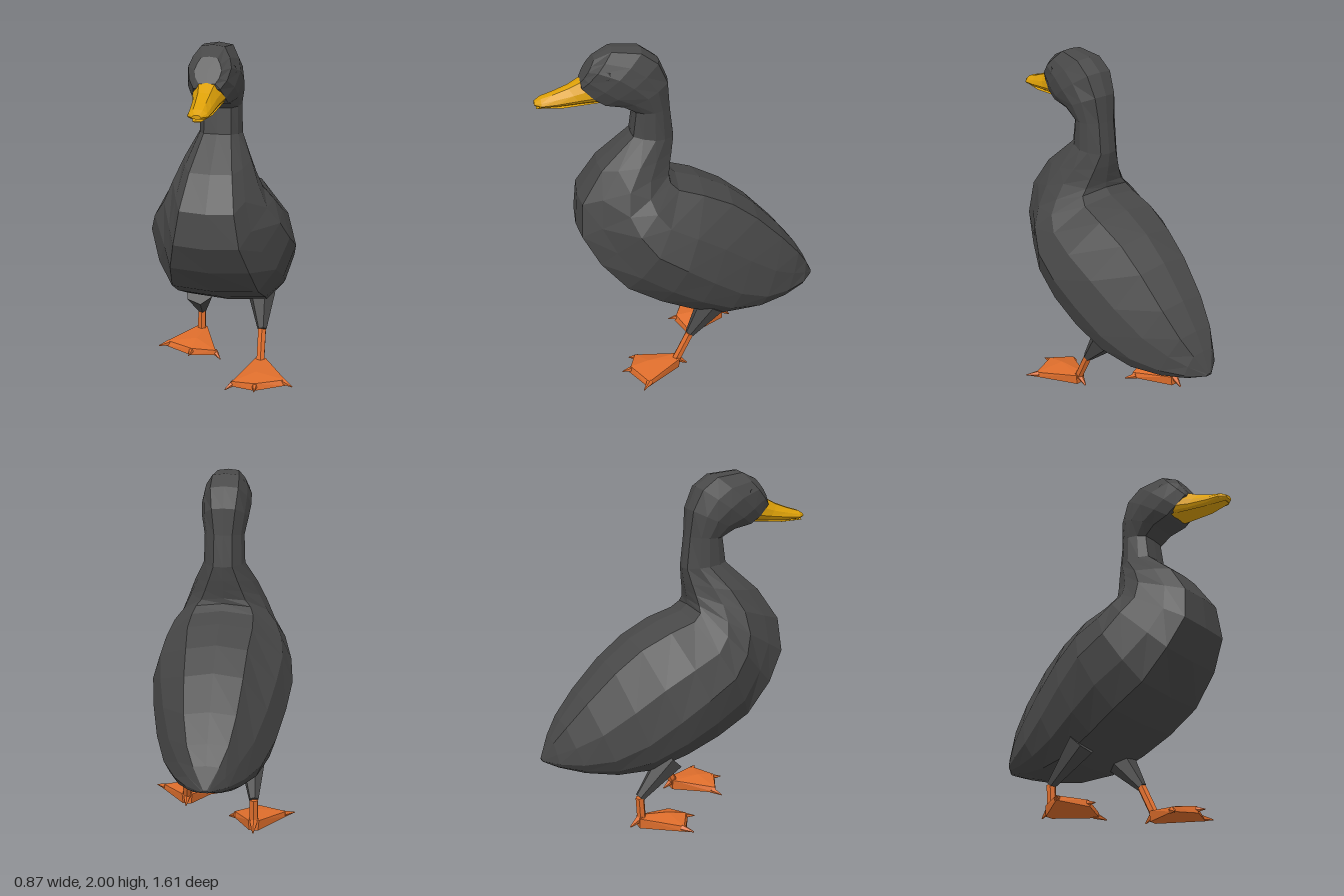
import * as THREE from 'three';
import { ConvexGeometry } from 'three/addons/geometries/ConvexGeometry.js';

const mat = (name, color) => {
  const m = new THREE.MeshStandardMaterial({ color });
  m.name = name;
  return m;
};

// Flat-faced loft. Each ring: [backZ, backY, frontZ, frontY, halfWidth,
// widest point from back to front, fullness of front side, width of back panel]
function loft(rings) {
  const pos = [], idx = [];
  for (const [bz, by, fz, fy, w, m, full = 0.88, back = 0.45] of rings) {
    const half = [[back, 0.04], [0.86, 0.55 * m], [1, m], [full, m + (1 - m) * 0.55], [0.62, 0.975]];
    const section = [[0, 0], ...half, [0, 1], ...half.slice().reverse().map(([u, v]) => [-u, v])];
    for (const [u, v] of section) pos.push(u * w, by + (fy - by) * v, bz + (fz - bz) * v);
  }
  const n = 12, last = rings.length - 1;
  for (let i = 0; i < last; i++) {
    for (let j = 0; j < n; j++) {
      const a = i * n + j, b = i * n + (j + 1) % n;
      idx.push(a, a + n, b + n, a, b + n, b);
    }
  }
  // End caps
  for (const i of [0, last]) {
    const [bz, by, fz, fy] = rings[i], c = pos.length / 3;
    pos.push(0, (by + fy) / 2, (bz + fz) / 2);
    for (let j = 0; j < n; j++) {
      const a = i * n + j, b = i * n + (j + 1) % n;
      if (i === 0) idx.push(c, a, b);
      else idx.push(c, b, a);
    }
  }
  const g = new THREE.BufferGeometry();
  g.setAttribute('position', new THREE.Float32BufferAttribute(pos, 3));
  g.setIndex(idx);
  return flat(g);
}

function flat(g) {
  const f = g.toNonIndexed();
  f.computeVertexNormals();
  return f;
}

// Tapered limb between two points
function limb(from, to, r0, r1, sides = 6) {
  const a = new THREE.Vector3(...from), b = new THREE.Vector3(...to);
  const d = b.clone().sub(a);
  const g = new THREE.CylinderGeometry(r1, r0, d.length(), sides);
  g.applyQuaternion(new THREE.Quaternion().setFromUnitVectors(new THREE.Vector3(0, 1, 0), d.normalize()));
  g.translate((a.x + b.x) / 2, (a.y + b.y) / 2, (a.z + b.z) / 2);
  return flat(g);
}

export function createModel() {
  const model = new THREE.Group();
  model.name = 'duck';
  const plumage = mat('charcoal plumage', 0x484848);
  const yellow = mat('yellow beak', 0xdda008);
  const orange = mat('orange feet', 0xdf6e2c);
  const dark = mat('dark eye', 0x1e1e1e);
  const add = (name, g, m, parent = model) => {
    const mesh = new THREE.Mesh(g, m);
    mesh.name = name;
    parent.add(mesh);
    return mesh;
  };

  // Body from tail tip through chest and neck to the forehead
  add('body', loft([
    [-0.805, 0.445, -0.80, 0.43, 0.02, 0.7],
    [-0.75, 0.56, -0.72, 0.40, 0.115, 0.75, 0.88, 0.6],
    [-0.69, 0.66, -0.58, 0.36, 0.19, 0.72, 0.88, 0.58],
    [-0.58, 0.80, -0.40, 0.335, 0.27, 0.7, 0.88, 0.52],
    [-0.42, 0.97, -0.20, 0.345, 0.335, 0.65, 0.88, 0.48],
    [-0.27, 1.09, 0.00, 0.42, 0.38, 0.6],
    [-0.10, 1.175, 0.18, 0.51, 0.408, 0.55, 0.86],
    [0.04, 1.22, 0.37, 0.62, 0.392, 0.52, 0.84],
    [0.08, 1.255, 0.52, 0.79, 0.35, 0.5, 0.77],
    [0.08, 1.285, 0.615, 0.96, 0.285, 0.5, 0.78],
    [0.07, 1.335, 0.60, 1.15, 0.235, 0.5, 0.8],
    [0.06, 1.39, 0.48, 1.33, 0.185, 0.5, 0.85],
    [0.05, 1.47, 0.29, 1.50, 0.12, 0.5],
    [0.07, 1.65, 0.27, 1.64, 0.115, 0.5],
    [0.08, 1.80, 0.34, 1.68, 0.135, 0.5, 0.88, 0.5],
    [0.13, 1.92, 0.44, 1.70, 0.145, 0.5, 0.88, 0.55],
    [0.22, 1.985, 0.50, 1.74, 0.14, 0.5, 0.88, 0.55],
    [0.38, 2.00, 0.555, 1.80, 0.112, 0.5, 0.88, 0.55],
    [0.475, 1.955, 0.555, 1.83, 0.07, 0.5, 0.88, 0.6],
  ]), plumage);

  // Beak halves
  add('upperBeak', loft([
    [0.545, 1.84, 0.44, 1.715, 0.092, 0.7],
    [0.62, 1.80, 0.55, 1.708, 0.07, 0.7],
    [0.70, 1.77, 0.68, 1.70, 0.06, 0.7],
    [0.765, 1.75, 0.765, 1.702, 0.054, 0.7],
    [0.80, 1.73, 0.80, 1.71, 0.024, 0.6],
  ]), yellow);
  add('lowerBeak', loft([
    [0.45, 1.725, 0.45, 1.71, 0.07, 0.5],
    [0.65, 1.70, 0.65, 1.692, 0.05, 0.5],
    [0.79, 1.698, 0.79, 1.692, 0.022, 0.5],
  ]), yellow);

  for (const s of [1, -1]) {
    const side = s > 0 ? 'left' : 'right';

    // Eye: dark rim with a paler centre
    const eye = new THREE.Group();
    eye.name = side + 'Eye';
    eye.position.set(s * 0.112, 1.882, 0.425);
    eye.quaternion.setFromUnitVectors(new THREE.Vector3(0, 0, 1), new THREE.Vector3(s, 0.2, 0.4).normalize());
    add('eyeRim', new THREE.TorusGeometry(0.021, 0.007, 5, 8), dark, eye);
    add('eyeCentre', new THREE.SphereGeometry(0.018, 8, 6).scale(1, 1, 0.5), plumage, eye);
    model.add(eye);

    // Legs in mid-stride
    const hip = s > 0 ? [0.185, 0.42, -0.13] : [-0.19, 0.41, -0.1];
    const knee = s > 0 ? [0.21, 0.245, 0.0] : [-0.215, 0.21, -0.295];
    const heel = [s * 0.215, 0, s > 0 ? 0.09 : -0.285];
    add(side + 'Thigh', limb(hip, knee, 0.085, 0.028), plumage);
    add(side + 'Shank', limb(knee, [heel[0], 0.06, heel[2]], 0.026, 0.026), orange);

    // Webbed foot with claws and a back toe
    const foot = new THREE.Group();
    foot.name = side + 'Foot';
    foot.position.set(...heel);
    const P = (x, y, z) => new THREE.Vector3(s * x, y, z);
    add('web', new ConvexGeometry([
      P(-0.03, 0.09, -0.02), P(0.03, 0.09, -0.02), P(-0.025, 0.03, -0.02), P(0.025, 0.03, -0.02),
      P(-0.13, 0.045, 0.22), P(-0.14, 0.015, 0.22),
      P(0, 0.09, 0.16), P(0.01, 0.07, 0.27), P(0.01, 0.03, 0.28),
      P(0.175, 0.07, 0.19), P(0.185, 0.04, 0.2),
    ]), orange, foot);
    const claws = [
      [[-0.12, 0.03, 0.2], [-0.165, 0.004, 0.25]],
      [[0.01, 0.055, 0.25], [0.015, 0.045, 0.32]],
      [[0.16, 0.057, 0.185], [0.22, 0.05, 0.23]],
    ];
    for (const [a, b] of claws) {
      add('claw', limb([s * a[0], a[1], a[2]], [s * b[0], b[1], b[2]], 0.02, 0.003, 5), orange, foot);
    }
    add('backToe', limb([0, 0.09, 0], [0, 0.035, -0.07], 0.028, 0.004, 5), orange, foot);
    model.add(foot);
  }
  return model;
}
